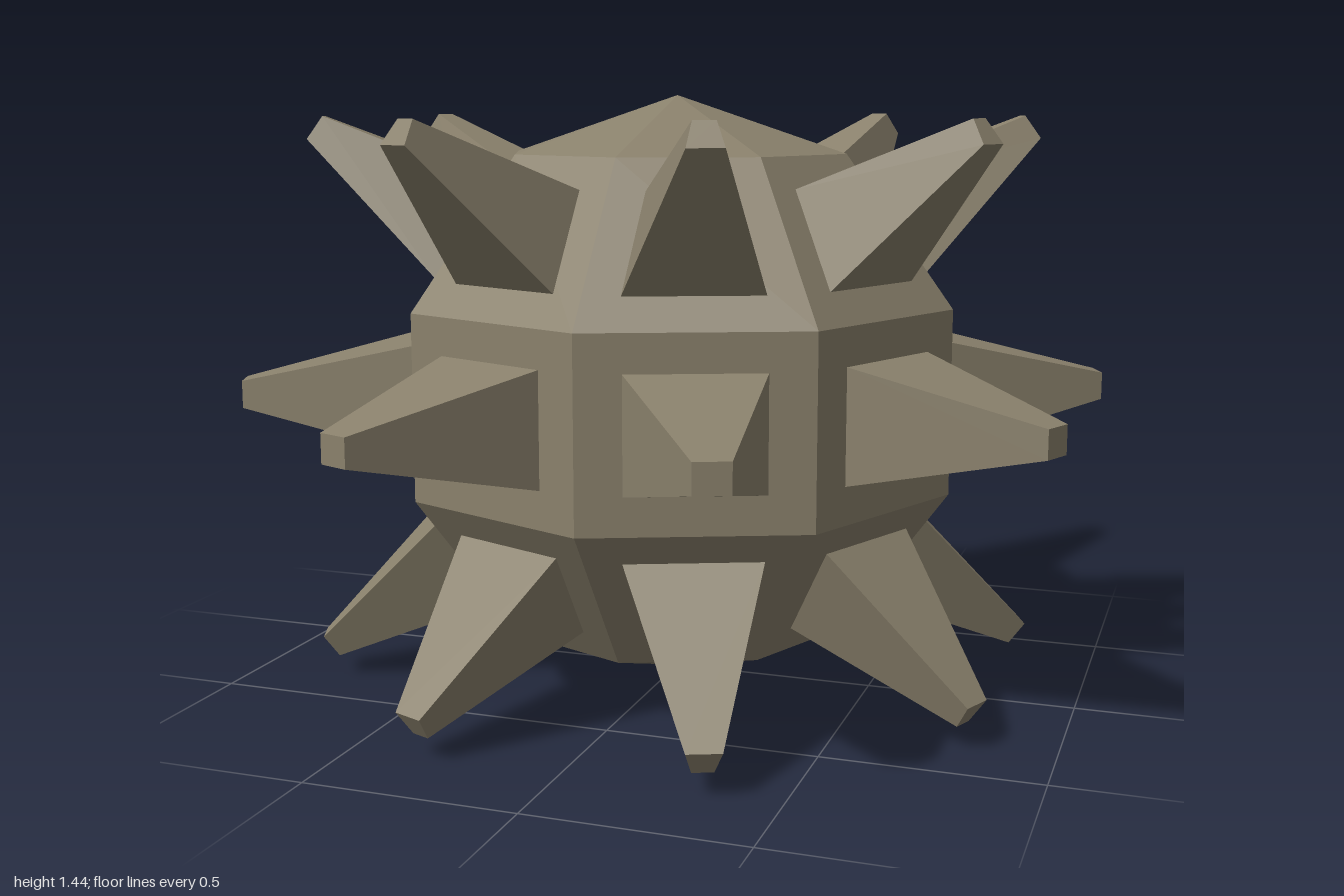
import * as THREE from 'three';

const R = 0.721;      // body radius
const SEG = 8;        // sides around
const ROWS = 5;       // bands from pole to pole
const BASE = 0.6;     // spike base size relative to its panel
const TIP = 0.15;     // spike tip size relative to its panel
const LENGTH = 0.6 * R;

// Point on the faceted ball: column counts round from +z towards +x, row counts down from the top
function ballPoint(col, row) {
  return new THREE.Vector3().setFromSphericalCoords(R, (row / ROWS) * Math.PI, (col / SEG) * Math.PI * 2);
}

// Tapered four-sided spike growing out of one panel of the ball
function spikeGeometry(col, row) {
  const panel = [
    ballPoint(col, row + 1), ballPoint(col + 1, row + 1),
    ballPoint(col + 1, row), ballPoint(col, row),
  ];
  const centre = panel.reduce((sum, p) => sum.add(p), new THREE.Vector3()).multiplyScalar(0.25);
  const across = panel[1].clone().sub(panel[0]);
  const up = panel[3].clone().sub(panel[0]);
  const offset = across.cross(up).normalize().multiplyScalar(LENGTH);
  const base = panel.map((p) => centre.clone().lerp(p, BASE));
  const tip = panel.map((p) => centre.clone().lerp(p, TIP).add(offset));

  const points = [];
  const quad = (a, b, c, d) => points.push(a, b, c, a, c, d);
  for (let i = 0; i < 4; i++) {
    const j = (i + 1) % 4;
    quad(base[i], base[j], tip[j], tip[i]);
  }
  quad(...tip);
  const geometry = new THREE.BufferGeometry().setFromPoints(points);
  geometry.computeVertexNormals();
  return geometry;
}

export function createModel() {
  const model = new THREE.Group();
  model.name = 'spikedBall';
  const stone = new THREE.MeshStandardMaterial({ color: 0x8a816c });
  stone.name = 'dull brown stone';

  // Faceted body
  const bodyGeometry = new THREE.SphereGeometry(R, SEG, ROWS).toNonIndexed();
  bodyGeometry.computeVertexNormals();
  const body = new THREE.Mesh(bodyGeometry, stone);
  body.name = 'body';
  body.position.y = R;
  model.add(body);

  // Three rings of spikes, one on every four-sided panel
  ['upperSpikes', 'middleSpikes', 'lowerSpikes'].forEach((name, i) => {
    const ring = new THREE.Group();
    ring.name = name;
    ring.position.y = R;
    for (let col = 0; col < SEG; col++) {
      const spike = new THREE.Mesh(spikeGeometry(col, i + 1), stone);
      spike.name = 'spike';
      ring.add(spike);
    }
    model.add(ring);
  });
  return model;
}
